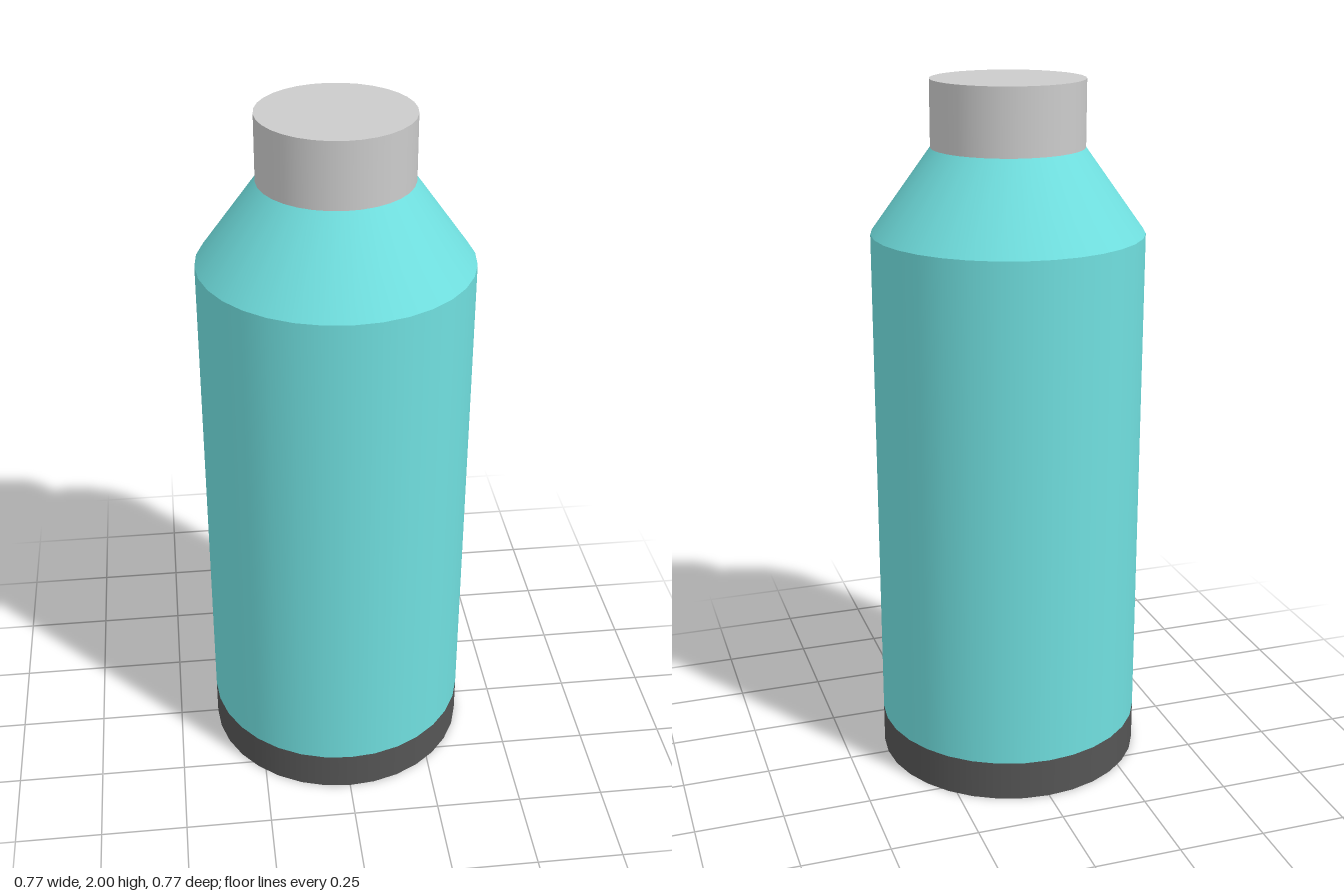
import * as THREE from 'three';

const SIDES = 32;

// Smooth round section between two heights
function section(name, bottomRadius, topRadius, y0, y1, color, open) {
  const geometry = new THREE.CylinderGeometry(topRadius, bottomRadius, y1 - y0, SIDES, 1, open);
  const material = new THREE.MeshStandardMaterial({ color });
  if (open) material.side = THREE.DoubleSide;
  const mesh = new THREE.Mesh(geometry, material);
  mesh.name = name;
  mesh.position.y = (y0 + y1) / 2;
  return mesh;
}

export function createModel() {
  const group = new THREE.Group();
  group.name = 'bottle';
  const bodyRadius = 0.383, capRadius = 0.214;
  const teal = 0x70dfdf;

  group.add(
    section('base', bodyRadius, bodyRadius, 0, 0.115, 0x555555, false),
    section('body', bodyRadius, bodyRadius, 0.115, 1.58, teal, true),
    section('shoulder', bodyRadius, capRadius, 1.58, 1.815, teal, true),
    section('cap', capRadius, capRadius, 1.815, 2, 0xc4c4c4, false)
  );
  return group;
}
